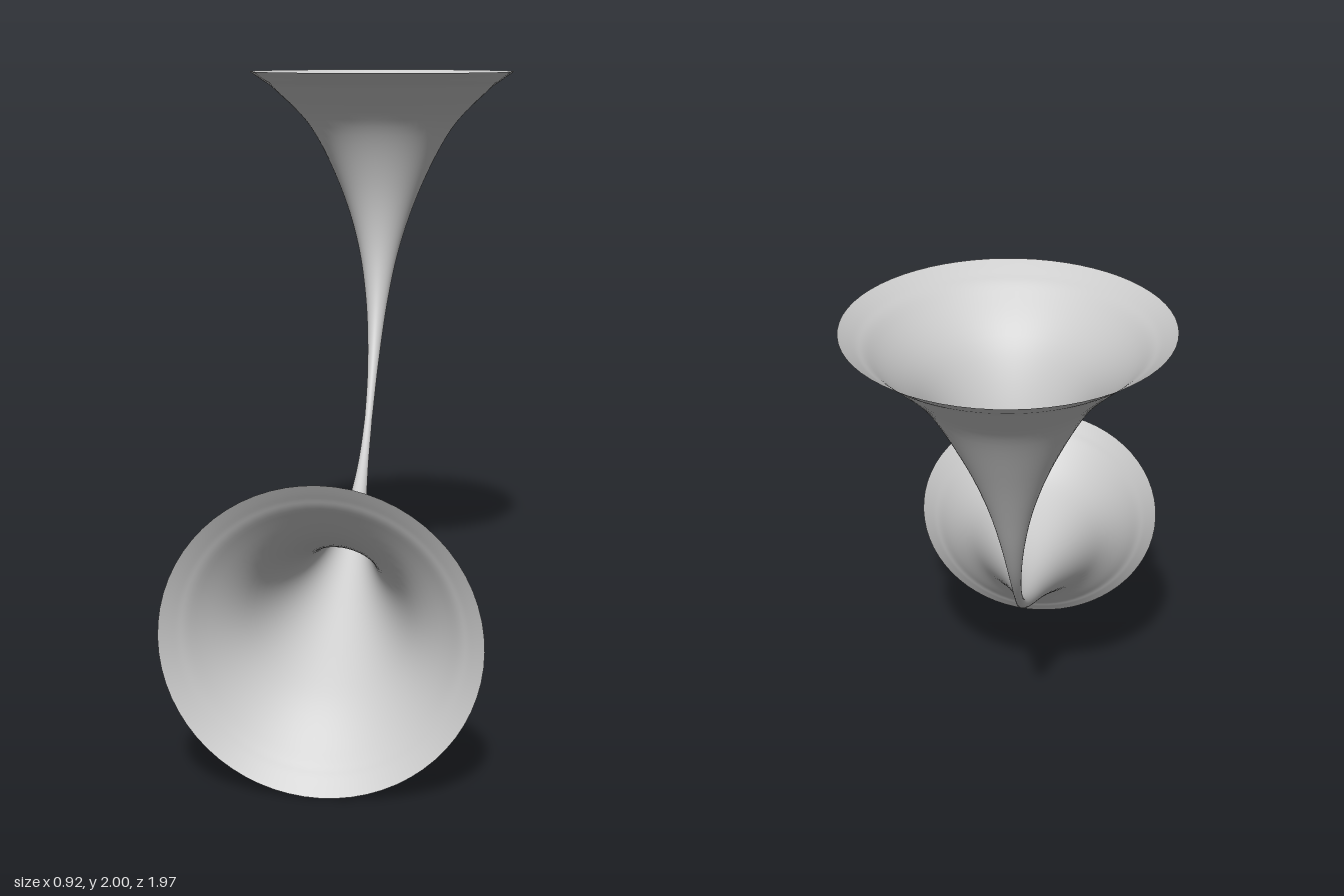
import * as THREE from 'three';

// Centre line: from the upward bell, through the thin throat, to the forward bell
const spine = new THREE.QuadraticBezierCurve3(
  new THREE.Vector3(0, 2, -0.527),
  new THREE.Vector3(0, 0.475, -0.527),
  new THREE.Vector3(0, 0.458, 0.978)
);

// Flare profile for half the length: (position along spine, radius), rim to throat
const flare = new THREE.SplineCurve([
  [0, 0.458], [0.01, 0.415], [0.023, 0.365], [0.067, 0.243], [0.14, 0.14],
  [0.219, 0.073], [0.307, 0.036], [0.408, 0.018], [0.5, 0.013],
].map(([t, r]) => new THREE.Vector2(t, r)));

// Round cross-sections swept along the spine, welded into one smooth skin
function sweptHorn(halfRings, sides) {
  const half = flare.getPoints(halfRings);
  const mirrored = half.slice(0, -1).reverse().map((p) => new THREE.Vector2(1 - p.x, p.y));
  const rings = [...half, ...mirrored];
  const across = new THREE.Vector3(1, 0, 0);
  const positions = [];
  const index = [];

  rings.forEach(({ x: t, y: r }, i) => {
    const centre = spine.getPoint(t);
    const up = new THREE.Vector3().crossVectors(spine.getTangent(t), across);
    for (let j = 0; j < sides; j++) {
      const a = (j / sides) * Math.PI * 2;
      const p = centre.clone()
        .addScaledVector(across, Math.cos(a) * r)
        .addScaledVector(up, Math.sin(a) * r);
      positions.push(p.x, p.y, p.z);
      if (i === 0) continue;
      const k = (j + 1) % sides;
      const a0 = (i - 1) * sides + j, a1 = (i - 1) * sides + k;
      const b0 = i * sides + j, b1 = i * sides + k;
      index.push(a0, b0, a1, a1, b0, b1);
    }
  });

  const geometry = new THREE.BufferGeometry();
  geometry.setAttribute('position', new THREE.Float32BufferAttribute(positions, 3));
  geometry.setIndex(index);
  geometry.computeVertexNormals();
  // Make sure the faces look outward from the spine
  const n = geometry.attributes.normal;
  const mid = halfRings * sides;
  if (n.getX(mid) < 0) {
    geometry.setIndex(index.reverse());
    geometry.computeVertexNormals();
  }
  return geometry;
}

export function createModel() {
  const group = new THREE.Group();
  group.name = 'doubleHorn';
  const material = new THREE.MeshStandardMaterial({ color: 0xcccccc, side: THREE.DoubleSide });
  const horn = new THREE.Mesh(sweptHorn(48, 64), material);
  horn.name = 'flaredTube';
  group.add(horn);
  return group;
}
